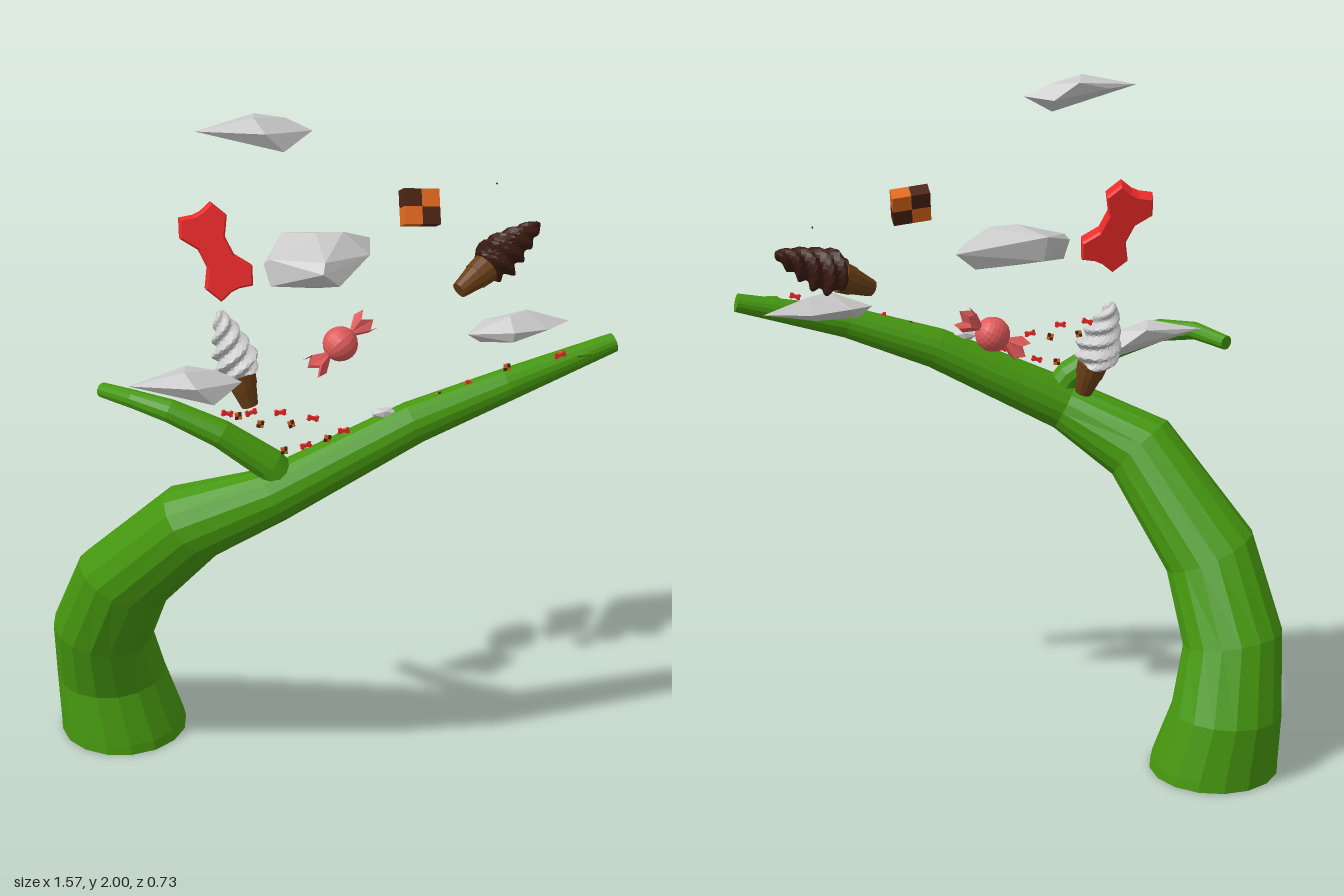
import * as THREE from 'three';
import { ConvexGeometry } from 'three/addons/geometries/ConvexGeometry.js';

const mat = (color) => new THREE.MeshStandardMaterial({ color, flatShading: true, side: THREE.DoubleSide });
const GREEN = mat(0x46980f), GREY = mat(0xcccccc), RED = mat(0xee2a2a), PINK = mat(0xe05a5a);
const ORANGE = mat(0xe0691c), DARK = mat(0x4a2412), CHOC = mat(0x3a1a10), WAFFLE = mat(0x6b3f16);
const V = (a) => new THREE.Vector3(...a);
const UP = new THREE.Vector3(0, 1, 0);

function add(parent, name, geometry, material) {
  const m = new THREE.Mesh(geometry, material);
  m.name = name;
  parent.add(m);
  return m;
}

// Capped tapering tube through straight segments; each row is x, y, z, radius
// and, optionally, the lean of that ring towards x and z
function stem(rows, sides) {
  const p = rows.map((r) => V(r)), n = p.length, pos = [], idx = [];
  let normal = new THREE.Vector3(1, 0, 0);
  for (let i = 0; i < n; i++) {
    const [, , , radius, leanX, leanZ] = rows[i];
    const t = leanX === undefined
      ? p[Math.min(i + 1, n - 1)].clone().sub(p[Math.max(i - 1, 0)])
      : new THREE.Vector3(leanX, 1, leanZ);
    t.normalize();
    normal = normal.clone().addScaledVector(t, -normal.dot(t)).normalize();
    const binormal = t.clone().cross(normal);
    for (let j = 0; j < sides; j++) {
      const a = (j / sides) * Math.PI * 2;
      const v = p[i].clone().addScaledVector(normal, Math.cos(a) * radius)
        .addScaledVector(binormal, Math.sin(a) * radius);
      pos.push(v.x, v.y, v.z);
      const k = (j + 1) % sides, b = i * sides;
      if (i < n - 1) idx.push(b + j, b + k, b + sides + j, b + k, b + sides + k, b + sides + j);
    }
  }
  for (let j = 1; j < sides - 1; j++) {
    const e = (n - 1) * sides;
    idx.push(0, j + 1, j, e, e + j, e + j + 1);
  }
  const g = new THREE.BufferGeometry();
  g.setAttribute('position', new THREE.Float32BufferAttribute(pos, 3));
  g.setIndex(idx);
  g.computeVertexNormals();
  return g;
}

// Point an object (built along +y from its origin) from one place to another
function aim(obj, from, to) {
  obj.position.copy(V(from));
  obj.quaternion.setFromUnitVectors(UP, V(to).sub(V(from)).normalize());
  return obj;
}

// Soft-serve cone with twisted ridges
function iceCream(name, length, creamMaterial) {
  const g = new THREE.Group();
  g.name = name;
  const h = length * 0.33;
  add(g, 'waffleCone', new THREE.CylinderGeometry(0.038, 0.024, h * 0.65, 12), WAFFLE).position.y = h * 0.32;
  add(g, 'waffleCup', new THREE.CylinderGeometry(0.045, 0.04, h * 0.4, 12), WAFFLE).position.y = h * 0.82;
  const top = length - h, swirl = new THREE.CylinderGeometry(1, 1, 1, 30, 20), a = swirl.attributes.position;
  for (let i = 0; i < a.count; i++) {
    const t = a.getY(i) + 0.5, ang = Math.atan2(a.getZ(i), a.getX(i)), r = Math.hypot(a.getX(i), a.getZ(i));
    const ridge = 1 + 0.2 * Math.sin(ang * 3 + t * 28);
    const R = r * ridge * (t < 0.2 ? 0.045 + t * 0.07 : 0.06 * Math.pow((1.03 - t) / 0.83, 0.6));
    a.setXYZ(i, Math.cos(ang) * R, h + t * top, Math.sin(ang) * R);
  }
  add(g, 'swirl', swirl, creamMaterial);
  return g;
}

// Bow with a pinched middle
function bow() {
  const right = [[0.046, -0.122], [0.066, -0.078], [0.036, -0.03], [0.036, 0.03], [0.066, 0.078], [0.046, 0.122], [0.012, 0.112]];
  const left = right.map(([x, y]) => [-x, y]).reverse();
  const s = new THREE.Shape([[0.012, -0.112], ...right, ...left, [-0.012, -0.112]].map(([x, y]) => new THREE.Vector2(x, y)));
  const geo = new THREE.ExtrudeGeometry(s, { depth: 0.036, bevelSize: 0.005, bevelThickness: 0.008, bevelSegments: 1 });
  const g = new THREE.Group();
  g.name = 'bow';
  add(g, 'bowLoops', geo.translate(0, 0, -0.018), RED);
  return g;
}

// Two-by-two checkered biscuit
function biscuit() {
  const g = new THREE.Group();
  g.name = 'checkeredBiscuit';
  for (const x of [-1, 1]) for (const y of [-1, 1]) {
    add(g, 'square', new THREE.BoxGeometry(0.053, 0.05, 0.04), x * y < 0 ? DARK : ORANGE)
      .position.set(x * 0.0265, y * 0.025, 0);
  }
  return g;
}

// Wrapped round sweet, with flared and pointed wrapper ends
function sweet() {
  const g = new THREE.Group();
  g.name = 'wrappedSweet';
  add(g, 'ball', new THREE.SphereGeometry(0.05, 16, 12), PINK);
  for (const s of [-1, 1]) {
    const w = new THREE.CylinderGeometry(0.036, 0.01, 0.065, 10, 1, true), a = w.attributes.position;
    for (let i = 0; i <= 10; i++) if (i % 2) a.setY(i, a.getY(i) - 0.025);
    const m = add(g, 'wrapperEnd', w, PINK);
    m.position.y = s * 0.078;
    if (s < 0) m.rotation.x = Math.PI;
  }
  return g;
}

export function createModel() {
  const model = new THREE.Group();
  model.name = 'candyVine';

  // Vine
  add(model, 'trunk', stem([
    [-0.59, 0, -0.18, 0.19, 0, 0], [-0.593, 0.03, -0.181, 0.187, 0, 0], [-0.622, 0.185, -0.193, 0.163, -0.03, 0.03],
    [-0.648, 0.38, -0.118, 0.148, 0.14, 0.18], [-0.594, 0.605, 0.008, 0.139, 0.46, 0.15],
    [-0.41, 0.868, 0.193, 0.115, 1.0, 0.55], [-0.195, 0.978, 0.288, 0.077],
    [0.19, 1.163, 0.293, 0.06], [0.45, 1.25, 0.288, 0.046], [0.77, 1.33, 0.238, 0.027],
  ], 16), GREEN);
  add(model, 'sideBranch', stem([
    [-0.16, 1.0, 0.29, 0.05], [-0.21, 1.07, 0.287, 0.047], [-0.34, 1.165, 0.268, 0.04],
    [-0.47, 1.222, 0.22, 0.033], [-0.56, 1.236, 0.155, 0.026], [-0.635, 1.226, 0.055, 0.021],
  ], 12), GREEN);

  // Floating rocks
  const slim = [[-0.37, 1.97, 0.11], [-0.215, 2, 0.115], [-0.2, 1.988, 0.04], [-0.12, 1.98, 0.07], [-0.05, 1.945, 0.085],
    [-0.13, 1.9, 0.09], [-0.14, 1.913, 0.155], [-0.13, 1.94, 0.035], [-0.19, 1.968, 0.165], [-0.22, 1.93, 0.12], [-0.29, 1.965, 0.075]];
  const rocks = [
    slim,
    slim.map(([x, y, z]) => [x - 0.2, y - 0.715, z]),
    [[-0.175, 1.55, 0.02], [-0.1, 1.59, -0.11], [-0.02, 1.61, -0.03], [0.06, 1.605, -0.04], [0.155, 1.55, -0.125], [0.13, 1.545, -0.005],
      [-0.03, 1.55, 0.135], [-0.02, 1.575, 0.11], [0.02, 1.505, 0.115], [0.1, 1.5, -0.1], [-0.03, 1.475, 0.04],
      [-0.16, 1.49, 0.04], [-0.16, 1.565, 0.03], [-0.09, 1.52, -0.1]],
    [[0.38, 1.34, 0.13], [0.44, 1.35, 0.06], [0.5, 1.385, 0.13], [0.56, 1.383, 0.085], [0.69, 1.335, 0.075],
      [0.61, 1.345, 0.15], [0.5, 1.355, 0.182], [0.5, 1.325, 0.175], [0.54, 1.305, 0.11], [0.42, 1.31, 0.12], [0.55, 1.335, 0.058]],
  ];
  rocks.forEach((pts) => add(model, 'rock', new ConvexGeometry(pts.map(V)), GREY));

  // Floating sweets
  model.add(aim(iceCream('chocolateIceCream', 0.32, CHOC), [0.384, 1.425, 0.01], [0.625, 1.55, -0.105]));
  model.add(aim(iceCream('vanillaIceCream', 0.29, GREY), [-0.213, 1.11, -0.015], [-0.288, 1.385, -0.062]));
  model.add(aim(bow(), [-0.305, 1.59, 0.005], [-0.355, 1.7, -0.025]));
  const bigBiscuit = biscuit();
  bigBiscuit.position.set(0.273, 1.668, -0.022);
  bigBiscuit.rotation.set(-0.5, 0.15, -0.05);
  model.add(bigBiscuit);
  model.add(aim(sweet(), [0.045, 1.285, 0], [0.135, 1.345, -0.03]));

  // Tiny sweets hovering along the vine
  const tiny = [[-0.325, 1.235], [-0.295, 1.225], [-0.26, 1.232], [-0.235, 1.195], [-0.18, 1.225], [-0.15, 1.188], [-0.09, 1.2],
    [-0.17, 1.11], [-0.11, 1.12], [-0.05, 1.135], [-0.005, 1.155], [0.26, 1.235], [0.35, 1.265], [0.45, 1.305], [0.6, 1.33]];
  tiny.forEach(([x, y], i) => {
    const t = i % 2 ? biscuit() : bow();
    t.name = 'tinySweet';
    t.scale.setScalar(i % 2 ? 0.18 : 0.13);
    t.position.set(x, y, 0.293);
    t.rotation.z = 1.35 + (i % 3) * 0.25;
    model.add(t);
  });

  // Pebble and leaf lying on the vine, and a stray crumb
  for (const [name, x, y, z, sx, sy, sz, m] of [
    ['pebble', 0.105, 1.2, 0.295, 0.04, 0.016, 0.016, GREY],
    ['leaf', 0.67, 1.325, 0.295, 0.03, 0.008, 0.006, GREEN],
    ['crumb', 0.545, 1.655, -0.21, 0.003, 0.003, 0.003, DARK],
  ]) {
    const o = add(model, name, new THREE.IcosahedronGeometry(1, 0), m);
    o.position.set(x, y, z);
    o.scale.set(sx, sy, sz);
  }
  return model;
}
